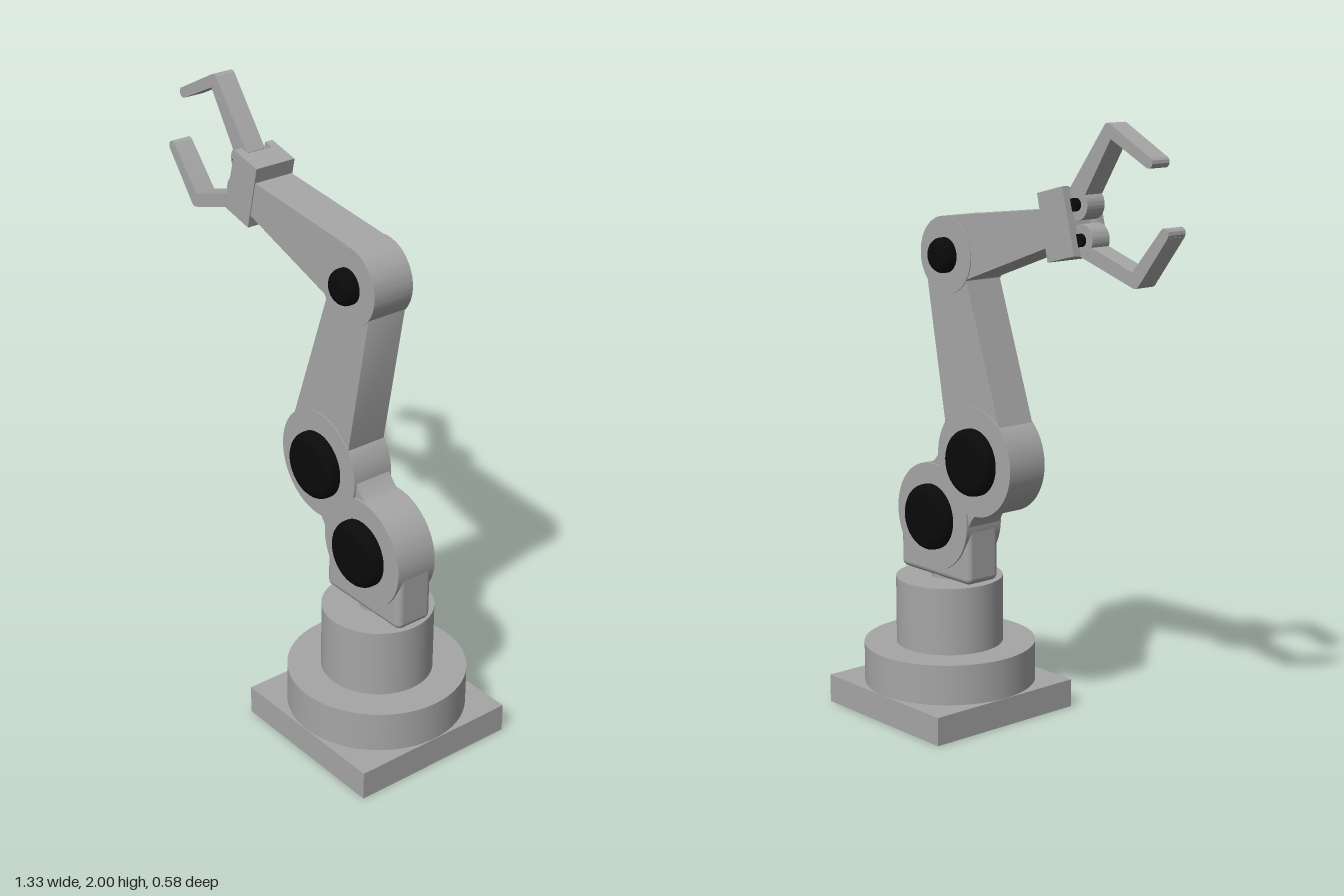
import * as THREE from 'three';
import { toCreasedNormals } from 'three/addons/utils/BufferGeometryUtils.js';
import { RoundedBoxGeometry } from 'three/addons/geometries/RoundedBoxGeometry.js';

export function createModel() {
  const root = new THREE.Group();
  const metal = new THREE.MeshStandardMaterial({ color: 0xa6a6a6 });
  metal.name = 'grey metal';
  const black = new THREE.MeshStandardMaterial({ color: 0x0a0a0a });
  black.name = 'black';

  const add = (name, geometry, material, x = 0, y = 0, z = 0) => {
    const mesh = new THREE.Mesh(geometry, material);
    mesh.name = name;
    mesh.position.set(x, y, z);
    root.add(mesh);
    return mesh;
  };

  // Plate in the xy plane, reaching from -half to +half in z
  const plate = (name, shape, half, material = metal, bevel = 0) => {
    const geometry = new THREE.ExtrudeGeometry(shape, {
      depth: 2 * (half - bevel), curveSegments: 48,
      bevelEnabled: bevel > 0, bevelSize: bevel, bevelThickness: bevel,
      bevelOffset: -bevel, bevelSegments: 5,
    });
    geometry.translate(0, 0, bevel - half);
    return add(name, toCreasedNormals(geometry, 0.6), material);
  };
  const polygon = (points) => new THREE.Shape(points.map(([x, y]) => new THREE.Vector2(x, y)));
  const disc = (x, y, r) => new THREE.Shape().absarc(x, y, r, 0, Math.PI * 2);

  // Base: square foot, turntable and column
  const baseX = 0.375;
  add('baseFoot', new THREE.BoxGeometry(0.58, 0.095, 0.58), metal, baseX, 0.0475);
  add('turntable', new THREE.CylinderGeometry(0.288, 0.288, 0.135, 64), metal, baseX, 0.1625);
  add('column', new THREE.CylinderGeometry(0.179, 0.179, 0.227, 64), metal, baseX, 0.3435);
  add('columnNeck', new THREE.CylinderGeometry(0.06, 0.06, 0.02, 32), metal, baseX, 0.463);

  // Shoulder bracket with softened edges
  add('shoulderBracket', new RoundedBoxGeometry(0.356, 0.23, 0.134, 4, 0.022), metal, baseX, 0.579);

  // Joint discs with black rounded caps on both sides
  const joints = [
    ['shoulder', 0.375, 0.67, 0.18, 0.11],
    ['upperArm', 0.16, 0.89, 0.18, 0.11],
    ['elbow', 0.295, 1.547, 0.125, 0.057],
  ];
  for (const [name, x, y, r, capR] of joints) {
    plate(name + 'Joint', disc(x, y, r), 0.073);
    plate(name + 'Caps', disc(x, y, capR), 0.116, black, 0.03);
  }

  // Link between the two lower joints, with concave sides
  const link = new THREE.Shape();
  link.moveTo(0.105, 0.74);
  link.quadraticCurveTo(0.195, 0.715, 0.215, 0.6);
  link.lineTo(0.44, 0.82);
  link.quadraticCurveTo(0.345, 0.852, 0.315, 0.95);
  plate('jointLink', link, 0.066);

  // Arms
  plate('upperArm', polygon([[-0.005, 0.9], [0.28, 0.88], [0.304, 0.995], [0.391, 1.47],
    [0.36, 1.547], [0.22, 1.547], [0.04, 1.03]]), 0.07);
  plate('forearm', polygon([[-0.19, 1.615], [0.25, 1.457], [0.36, 1.5], [0.31, 1.67], [-0.19, 1.731]]), 0.07);

  // Wrist: solid block with a fork that holds the fingers
  plate('wristBlock', polygon([[-0.225, 1.797], [-0.278, 1.592], [-0.193, 1.57], [-0.145, 1.777]]), 0.073);
  for (const side of [-1, 1]) {
    const prong = plate('wristProng',
      polygon([[-0.257, 1.805], [-0.311, 1.6], [-0.278, 1.592], [-0.225, 1.797]]), 0.014);
    prong.position.z = side * 0.059;
  }

  // Fingers: bent bars with rounded tips
  const upper = new THREE.Shape();
  upper.moveTo(-0.245, 1.79);
  upper.lineTo(-0.398, 1.992);
  upper.quadraticCurveTo(-0.408, 2.004, -0.425, 1.994);
  upper.lineTo(-0.59, 1.907);
  upper.absarc(-0.581, 1.893, 0.017, 2.08, 5.22, false);
  upper.lineTo(-0.425, 1.952);
  upper.lineTo(-0.3, 1.755);
  plate('upperFinger', upper, 0.035);

  const lower = new THREE.Shape();
  lower.moveTo(-0.28, 1.6);
  lower.lineTo(-0.525, 1.523);
  lower.quadraticCurveTo(-0.54, 1.52, -0.55, 1.535);
  lower.lineTo(-0.664, 1.682);
  lower.absarc(-0.65, 1.693, 0.017, 3.8, 0.66, true);
  lower.lineTo(-0.52, 1.57);
  lower.lineTo(-0.32, 1.635);
  plate('lowerFinger', lower, 0.035);

  // Finger knuckles and pins
  for (const [name, x, y] of [['upper', -0.28, 1.75], ['lower', -0.303, 1.645]]) {
    plate(name + 'Knuckle', disc(x, y, 0.048), 0.0352);
    plate(name + 'KnucklePin', disc(x, y, 0.02), 0.05, black);
  }
  return root;
}
